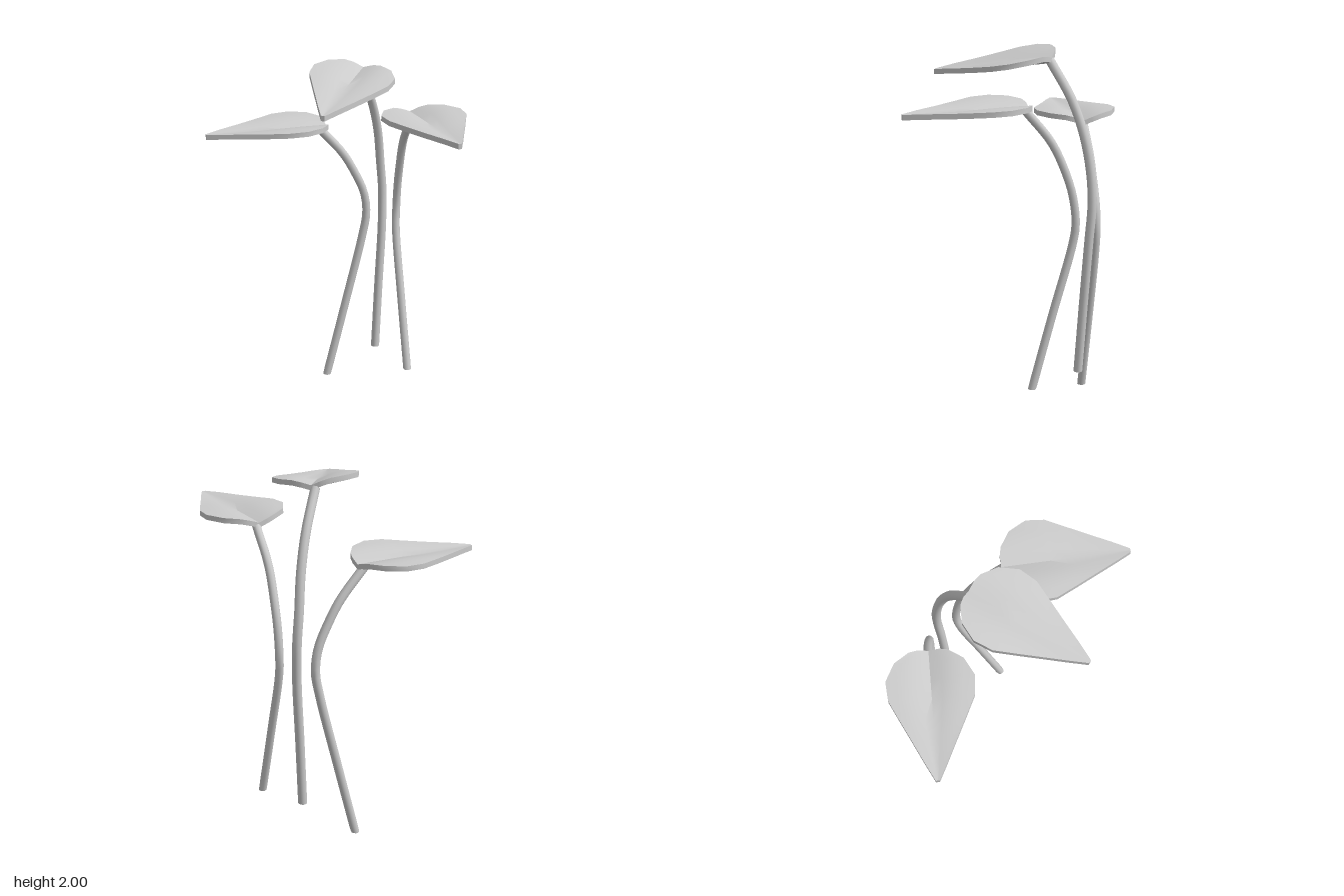
import * as THREE from 'three';
import { toCreasedNormals } from 'three/addons/utils/BufferGeometryUtils.js';

const material = new THREE.MeshStandardMaterial({ color: 0xcccccc });
const V = (p) => new THREE.Vector3(...p);

// [distance along the midrib, half width] from the stalk end to the tip
const STATIONS = [[0, 0.055], [0.012, 0.1], [0.065, 0.178], [0.16, 0.228], [0.26, 0.22],
  [0.37, 0.166], [0.48, 0.111], [0.59, 0.057], [0.68, 0.01]];
const ACROSS = [-1, -0.75, -0.5, -0.25, 0, 0.25, 0.5, 0.75, 1];
const THICKNESS = 0.028;

// Heart-shaped blade: midrib valley with raised lobes, closed by an underside and rim
function leafGeometry(base, tip, slope) {
  const along = new THREE.Vector3(tip[0] - base[0], 0, tip[2] - base[2]);
  const scale = along.length() / 0.68;
  along.normalize();
  const side = new THREE.Vector3(-along.z, 0, along.x);
  const pos = [], index = [];
  const n = ACROSS.length, rows = STATIONS.length, top = n * rows;
  for (const drop of [0, THICKNESS]) {
    for (const [a, w] of STATIONS) {
      for (const s of ACROSS) {
        const x = base[0] + along.x * a * scale + side.x * w * s;
        const z = base[2] + along.z * a * scale + side.z * w * s;
        const lift = 0.036 * Math.sin(Math.min(1, Math.abs(s) * w / 0.15) * Math.PI / 2)
          * (1 - 0.55 * THREE.MathUtils.smoothstep(a, 0.16, 0.5));
        const y = base[1] + slope[0] * (x - base[0]) + slope[1] * (z - base[2]) + lift - drop;
        pos.push(x, y, z);
      }
    }
  }
  const quad = (a, b, c, d) => index.push(a, b, c, a, c, d);
  for (let i = 0; i < rows - 1; i++) {
    for (let j = 0; j < n - 1; j++) {
      const a = i * n + j, b = a + 1, c = b + n, d = a + n;
      quad(a, d, c, b);
      quad(a + top, b + top, c + top, d + top);
    }
    // side rims
    const l = i * n, r = l + n - 1;
    quad(l, l + top, l + n + top, l + n);
    quad(r, r + n, r + n + top, r + top);
  }
  // rims at the stalk end and at the tip
  for (let j = 0; j < n - 1; j++) {
    const e = (rows - 1) * n + j;
    quad(j, j + 1, j + 1 + top, j + top);
    quad(e, e + top, e + 1 + top, e + 1);
  }
  // side x up runs along the midrib, so reverse winding if the top faces down
  const p = (k) => new THREE.Vector3().fromArray(pos, 3 * k);
  const o = p(index[0]);
  const up = p(index[1]).sub(o).cross(p(index[2]).sub(o)).y;
  if (up < 0) {
    for (let k = 0; k < index.length; k += 3) [index[k + 1], index[k + 2]] = [index[k + 2], index[k + 1]];
  }
  const g = new THREE.BufferGeometry();
  g.setAttribute('position', new THREE.Float32BufferAttribute(pos, 3));
  g.setIndex(index);
  return toCreasedNormals(g, 0.6);
}

// Bent round stalk, cut level at the foot
function makeStem(points, radius) {
  const group = new THREE.Group();
  group.name = 'stem';
  const sides = 10;
  const curve = new THREE.CatmullRomCurve3(points.map(V), false, 'centripetal');
  const tube = new THREE.TubeGeometry(curve, 36, radius, sides);
  const attr = tube.attributes.position;
  for (let i = 0; i <= sides; i++) attr.setY(i, points[0][1]);
  const stalk = new THREE.Mesh(tube, material);
  stalk.name = 'stalk';
  group.add(stalk);
  for (const t of [0, 1]) {
    const cap = new THREE.Mesh(new THREE.CircleGeometry(radius, sides), material);
    const dir = t ? curve.getTangent(1) : new THREE.Vector3(0, -1, 0);
    cap.quaternion.setFromUnitVectors(new THREE.Vector3(0, 0, 1), dir);
    cap.position.copy(curve.getPoint(t));
    cap.name = t ? 'stalkTopEnd' : 'stalkFoot';
    group.add(cap);
  }
  return group;
}

const PLANTS = [
  {
    name: 'rightPlant', radius: 0.024,
    base: [-0.415, 1.575, -0.158], tip: [-0.722, 1.58, 0.463], slope: [0, 0],
    stem: [[-0.425, 0, -0.16], [-0.375, 0.44, -0.262], [-0.325, 0.88, -0.36], [-0.312, 1.02, -0.38],
      [-0.318, 1.15, -0.365], [-0.345, 1.29, -0.308], [-0.375, 1.4, -0.25], [-0.437, 1.56, -0.125]],
  },
  {
    name: 'middlePlant', radius: 0.025,
    base: [-0.14, 1.955, -0.19], tip: [0.192, 1.87, 0.405], slope: [-0.16, -0.08],
    stem: [[-0.21, 0.2, -0.36], [-0.215, 0.6, -0.39], [-0.22, 0.97, -0.42], [-0.23, 1.18, -0.43],
      [-0.232, 1.34, -0.415], [-0.215, 1.55, -0.375], [-0.19, 1.74, -0.3], [-0.15, 1.94, -0.165]],
  },
  {
    name: 'leftPlant', radius: 0.023,
    base: [0.112, 1.735, -0.303], tip: [0.73, 1.735, -0.038], slope: [0, 0],
    stem: [[0.1, 0.165, -0.325], [-0.003, 0.58, -0.37], [-0.102, 0.98, -0.418], [-0.112, 1.09, -0.43],
      [-0.1, 1.22, -0.425], [-0.072, 1.34, -0.41], [0.005, 1.54, -0.365], [0.135, 1.72, -0.303]],
  },
];

export function createModel() {
  const model = new THREE.Group();
  model.name = 'leafStems';
  for (const { name, radius, base, tip, slope, stem } of PLANTS) {
    const plant = new THREE.Group();
    plant.name = name;
    const leaf = new THREE.Mesh(leafGeometry(base, tip, slope), material);
    leaf.name = 'leaf';
    plant.add(makeStem(stem, radius), leaf);
    model.add(plant);
  }
  return model;
}
